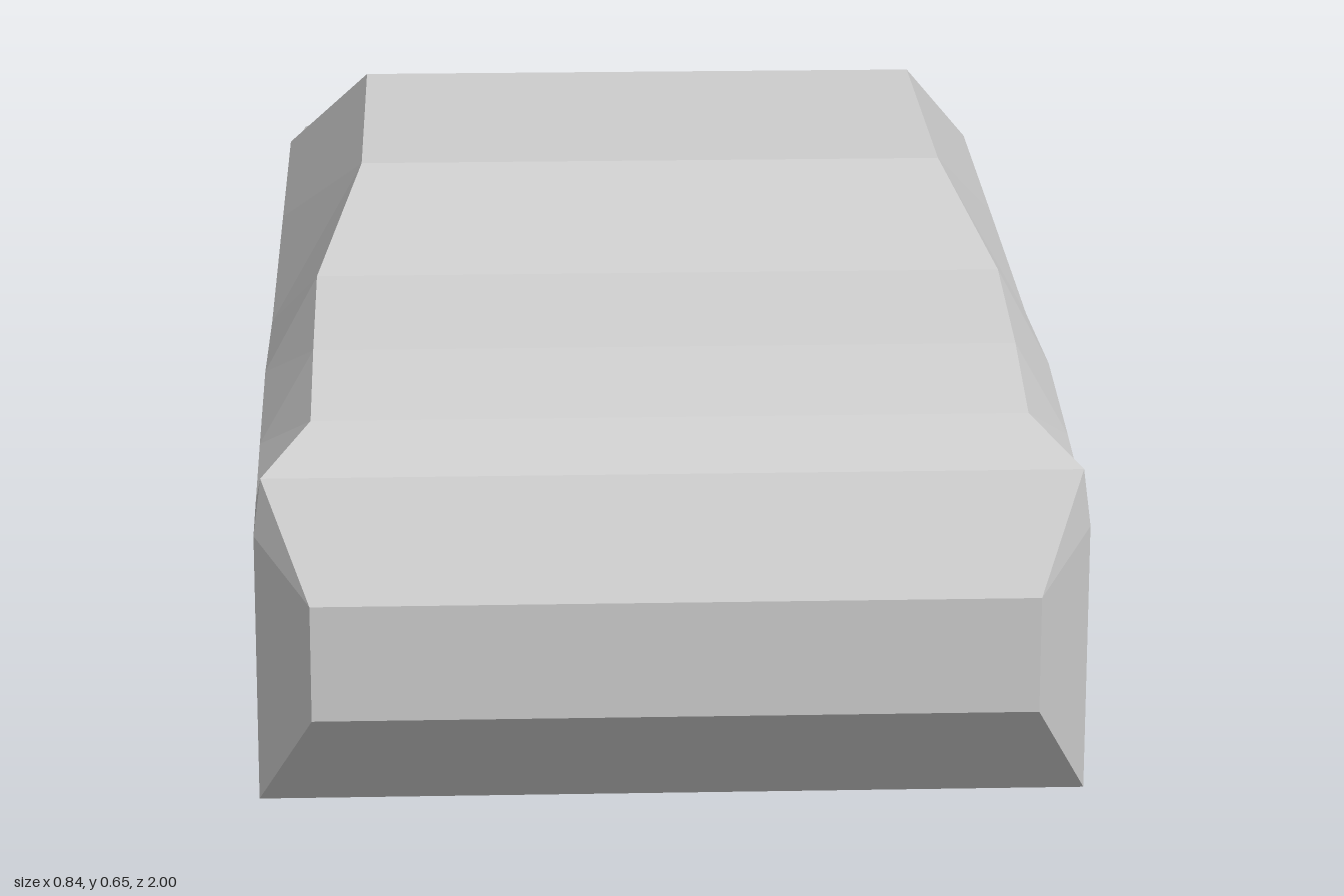
import * as THREE from 'three';

const material = new THREE.MeshStandardMaterial({ color: 0xcccccc, flatShading: true, side: THREE.DoubleSide });
const SIDE = 0.42, WELL = 0.27, FLOOR = 0.1;

// Wheel arch outlines as [z, y], from the bonnet end to the tail
const ARCHES = [
  [[-0.815, FLOOR], [-0.81, 0.27], [-0.64, 0.35], [-0.49, 0.29], [-0.475, FLOOR]],
  [[0.4, FLOOR], [0.41, 0.285], [0.58, 0.35], [0.72, 0.285], [0.74, FLOOR]],
];

// Deck sections: [inner half width, inner z, inner y, outer z, outer y]
const BONNET = [
  [0.32, -0.95, 0.1, -0.95, 0.1],
  [0.32, -0.985, 0.12, -0.98, 0.12],
  [0.32, -1, 0.2, -0.995, 0.2],
  [0.32, -1, 0.25, -0.995, 0.24],
  [0.32, -0.98, 0.32, -0.965, 0.3],
  [0.32, -0.935, 0.385, -0.905, 0.355],
  [0.32, -0.86, 0.425, -0.82, 0.395],
  [0.32, -0.75, 0.45, -0.74, 0.408],
  [0.32, -0.63, 0.455, -0.63, 0.41],
  [0.32, -0.46, 0.477, -0.46, 0.435],
  [0.32, -0.285, 0.5, -0.285, 0.5],
];
const CABIN = [
  [0.42, -0.285, 0.5, -0.285, 0.5],
  [0.318, 0.01, 0.65, 0.01, 0.478],
  [0.318, 0.375, 0.63, 0.375, 0.45],
  [0.363, 0.575, 0.555, 0.575, 0.45],
  [0.363, 0.74, 0.52, 0.74, 0.42],
  [0.363, 0.86, 0.48, 0.86, 0.395],
  [0.412, 0.925, 0.44, 0.925, 0.38],
  [0.363, 1, 0.33, 0.925, 0.33],
  [0.363, 1, 0.21, 0.925, 0.21],
  [0.42, 0.925, FLOOR, 0.925, FLOOR],
];

// Surface through equally long rows of points
function strip(name, rows) {
  const pos = [];
  const area = new THREE.Triangle();
  const add = (...t) => {
    area.set(...t.map(p => new THREE.Vector3(...p)));
    if (area.getArea() > 1e-6) t.forEach(p => pos.push(...p));
  };
  for (let i = 0; i + 1 < rows.length; i++) {
    for (let j = 0; j + 1 < rows[i].length; j++) {
      const a = rows[i][j], b = rows[i][j + 1], c = rows[i + 1][j + 1], d = rows[i + 1][j];
      // mirrored diagonals keep both flanks alike
      if (j < 1) { add(a, b, c); add(a, c, d); } else { add(a, b, d); add(b, c, d); }
    }
  }
  const geo = new THREE.BufferGeometry();
  geo.setAttribute('position', new THREE.Float32BufferAttribute(pos, 3));
  geo.computeVertexNormals();
  return named(name, geo);
}

function named(name, geo) {
  const mesh = new THREE.Mesh(geo, material);
  mesh.name = name;
  return mesh;
}

const deck = (name, sections) => strip(name, sections.map(([w, zi, yi, zo, yo]) =>
  [[SIDE, yo, zo], [w, yi, zi], [-w, yi, zi], [-SIDE, yo, zo]]));

// Upright flat panel facing outwards on side s, outline as [z, y]
function panel(name, outline, s, x) {
  const shape = new THREE.Shape(outline.map(([z, y]) => new THREE.Vector2(-s * z, y)));
  const geo = new THREE.ShapeGeometry(shape);
  geo.rotateY(s * Math.PI / 2).translate(s * x, 0, 0);
  return named(name, geo);
}

const floorPanel = (x0, x1, z0, z1) => strip('floor', [z0, z1].map(z => [[x0, FLOOR, z], [x1, FLOOR, z]]));

export function createModel() {
  const car = new THREE.Group();
  car.name = 'car';
  car.add(deck('bonnet', BONNET), deck('cabinAndTail', CABIN));

  // Side outline: shoulder line from nose to tail, then back along the arches
  const shoulder = [...BONNET, ...CABIN.slice(1)].map(p => [p[3], p[4]]);
  const sill = [...ARCHES[1]].reverse().concat([...ARCHES[0]].reverse());
  const outline = [...shoulder, ...sill];

  car.add(floorPanel(-WELL, WELL, -0.95, 0.925));
  for (const s of [1, -1]) {
    const label = s > 0 ? 'left' : 'right';
    car.add(panel(label + 'SideWall', outline, s, SIDE));

    // Outer floor between the wheel wells
    const [x0, x1] = [s * WELL, s * SIDE].sort((a, b) => a - b);
    for (const [z0, z1] of [[-0.95, -0.815], [-0.475, 0.4], [0.74, 0.925]]) {
      car.add(floorPanel(x0, x1, z0, z1));
    }

    // Wheel wells
    for (const arch of ARCHES) {
      car.add(strip(label + 'WheelArch', arch.map(([z, y]) => [[x0, y, z], [x1, y, z]])));
      car.add(panel(label + 'WellInner', arch, s, WELL));
    }

    // Wheels
    for (const z of [-0.64, 0.575]) {
      const geo = new THREE.CylinderGeometry(0.147, 0.147, 0.12, 16);
      geo.rotateZ(Math.PI / 2);
      const wheel = named(label + (z < 0 ? 'BonnetWheel' : 'TailWheel'), geo);
      wheel.position.set(s * 0.339, 0.147, z);
      car.add(wheel);
    }
  }
  return car;
}
